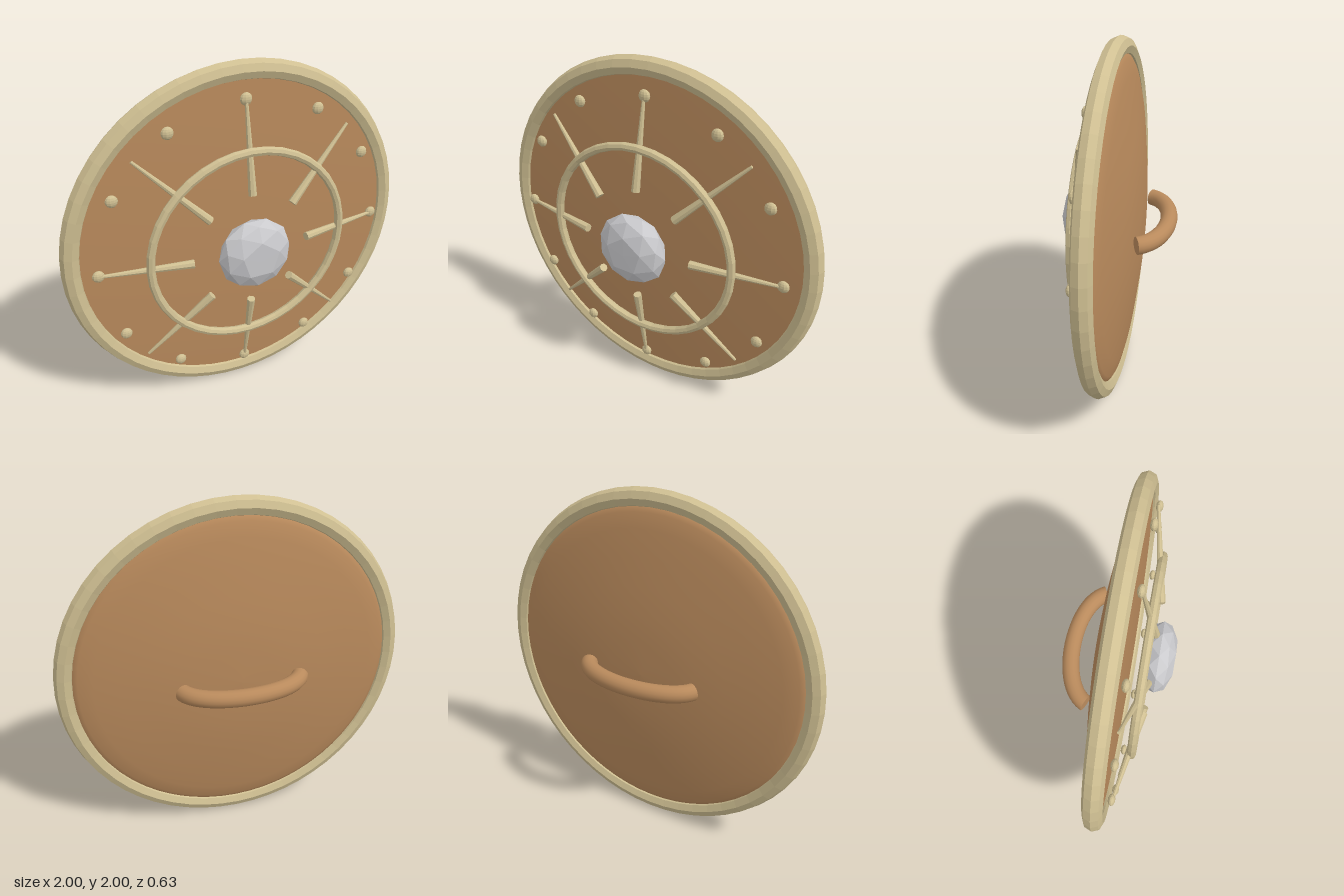
import * as THREE from 'three';

const mat = (name, color, flatShading = false) => {
  const m = new THREE.MeshStandardMaterial({ color, flatShading });
  m.name = name;
  return m;
};

export function createModel() {
  const wood = mat('wood', 0xb98a5c);
  const brass = mat('brass', 0xcfbf92, true);
  const crystal = mat('crystal', 0xcacacd, true);

  const shield = new THREE.Group();
  shield.name = 'shield';
  shield.position.y = 1;
  const add = (name, geometry, material, parent = shield) => {
    const mesh = new THREE.Mesh(geometry, material);
    mesh.name = name;
    parent.add(mesh);
    return mesh;
  };

  // Board: flat front, gently domed back, smooth over the edge
  const profile = [
    [0, -0.12], [0.2, -0.116], [0.35, -0.105], [0.5, -0.088], [0.66, -0.064],
    [0.8, -0.042], [0.88, -0.022], [0.92, 0.0], [0.92, 0.045], [0, 0.045],
  ].map(([r, z]) => new THREE.Vector2(r, z));
  add('board', new THREE.LatheGeometry(profile, 64).rotateX(Math.PI / 2), wood);

  // Outer rim and raised front ring
  add('rim', new THREE.TorusGeometry(0.947, 0.053, 8, 56), brass).position.z = 0.02;
  add('frontRing', new THREE.TorusGeometry(0.565, 0.024, 8, 40), brass).position.z = 0.16;

  // Eight tapered spokes leaning outward from the ring
  const inner = new THREE.Vector3(0, 0.335, 0.188);
  const outer = new THREE.Vector3(0, 0.85, 0.098);
  const along = outer.clone().sub(inner);
  const spokeGeometry = new THREE.CylinderGeometry(0.008, 0.024, along.length(), 8);
  spokeGeometry.applyQuaternion(new THREE.Quaternion().setFromUnitVectors(
    new THREE.Vector3(0, 1, 0), along.clone().normalize()));
  spokeGeometry.translate(0, (inner.y + outer.y) / 2, (inner.z + outer.z) / 2);
  const spokes = new THREE.Group();
  spokes.name = 'spokes';
  shield.add(spokes);
  for (let i = 0; i < 8; i++) {
    add('spoke', spokeGeometry, brass, spokes).rotation.z = (i * Math.PI) / 4;
  }

  // Twelve flattened studs
  const studGeometry = new THREE.SphereGeometry(0.033, 10, 8).scale(1, 1, 0.62);
  const studs = new THREE.Group();
  studs.name = 'studs';
  shield.add(studs);
  for (let i = 0; i < 12; i++) {
    const a = (i * Math.PI) / 6;
    add('stud', studGeometry, brass, studs)
      .position.set(0.825 * Math.cos(a), 0.825 * Math.sin(a), 0.098);
  }

  // Central cut gem: faceted ball on its five-fold axis, with flattened table
  const gem = new THREE.IcosahedronGeometry(0.21, 1).rotateX(-Math.atan2(0.5257, 0.8507));
  const p = gem.attributes.position;
  for (let i = 0; i < p.count; i++) {
    p.setZ(i, THREE.MathUtils.clamp(p.getZ(i), -0.18, 0.18) * 0.5);
  }
  gem.computeVertexNormals();
  add('gem', gem, crystal).position.z = 0.225;

  // Curved grip on the back, with closed ends
  const curve = new THREE.CubicBezierCurve3(
    new THREE.Vector3(-0.335, 0, -0.135), new THREE.Vector3(-0.25, 0, -0.315),
    new THREE.Vector3(0.25, 0, -0.315), new THREE.Vector3(0.335, 0, -0.135));
  const grip = new THREE.Group();
  grip.name = 'grip';
  shield.add(grip);
  add('gripBar', new THREE.TubeGeometry(curve, 32, 0.048, 16), wood, grip);
  for (const t of [0, 1]) {
    const cap = add('gripEnd', new THREE.CircleGeometry(0.048, 16), wood, grip);
    cap.position.copy(curve.getPoint(t));
    cap.quaternion.setFromUnitVectors(new THREE.Vector3(0, 0, 1),
      curve.getTangent(t).multiplyScalar(t ? 1 : -1));
  }

  const model = new THREE.Group();
  model.name = 'roundShield';
  model.add(shield);
  return model;
}
